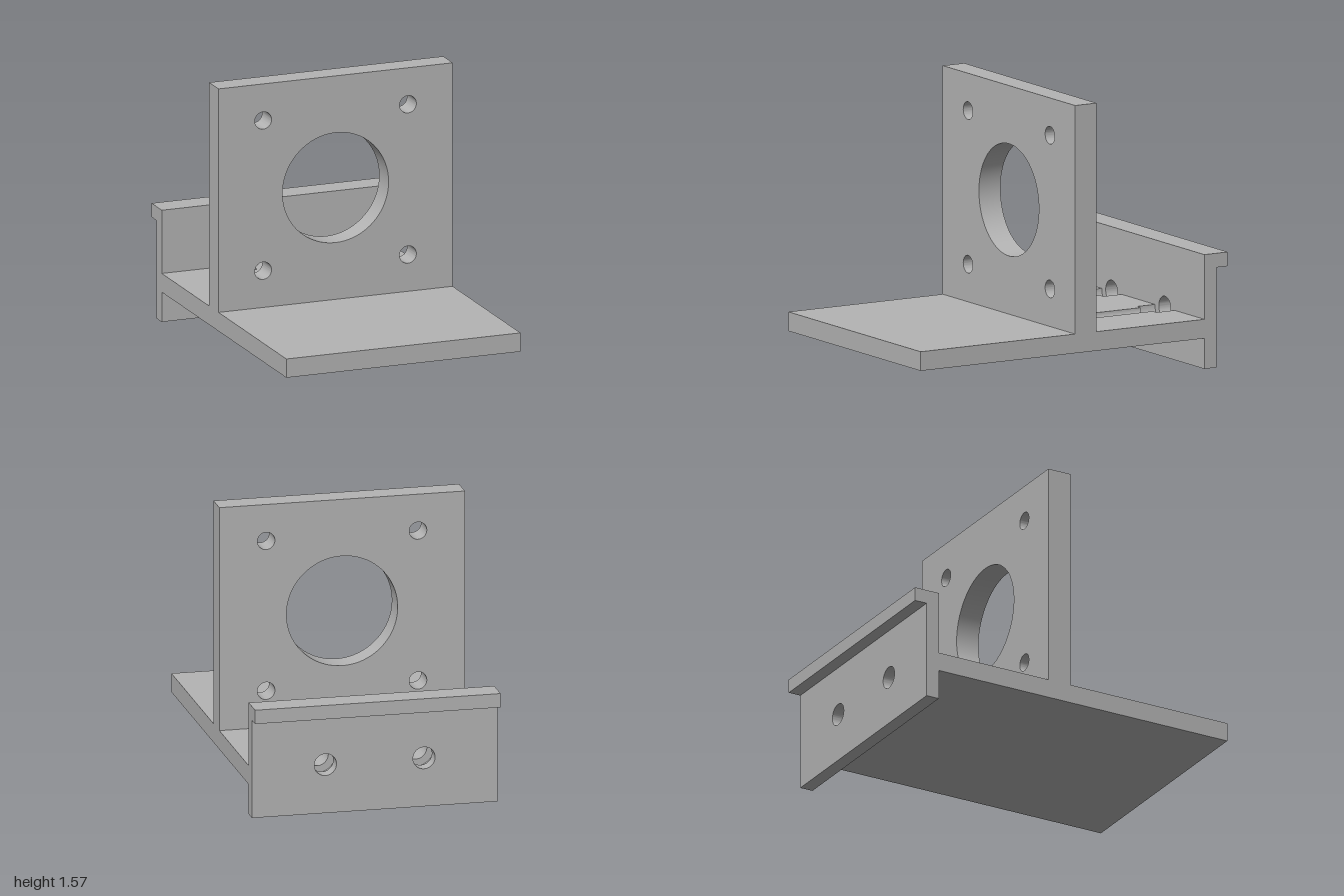
import * as THREE from 'three';
import { toCreasedNormals } from 'three/addons/utils/BufferGeometryUtils.js';

const HALF_W = 0.7;          // half width shared by every plate
const BASE_Y0 = 0.172, BASE_Y1 = 0.28;
const BOLT_X = 0.281, SHANK_R = 0.063, HEAD_R = 0.104;

export function createModel() {
  const model = new THREE.Group();
  const grey = new THREE.MeshStandardMaterial({ color: 0xb4b4b4 });
  grey.name = 'matt grey';

  // Extrude an outline in the XY plane from zBack to zFront
  const addPlate = (name, shape, zBack, zFront) => {
    const geometry = new THREE.ExtrudeGeometry(shape, {
      depth: zFront - zBack, bevelEnabled: false, curveSegments: 40,
    });
    geometry.translate(0, 0, zBack);
    const mesh = new THREE.Mesh(toCreasedNormals(geometry, 0.6), grey);
    mesh.name = name;
    model.add(mesh);
  };

  // Full-width rectangle with round holes given as [x, y, radius]
  const panel = (y0, y1, holes = []) => {
    const shape = new THREE.Shape();
    shape.moveTo(-HALF_W, y0).lineTo(HALF_W, y0).lineTo(HALF_W, y1).lineTo(-HALF_W, y1).closePath();
    for (const [x, y, r] of holes) {
      shape.holes.push(new THREE.Path().absarc(x, y, r, 0, Math.PI * 2, true));
    }
    return shape;
  };

  // Base cross-section with two half-round grooves in its top
  const groovedBase = (r) => {
    const shape = new THREE.Shape();
    shape.moveTo(-HALF_W, BASE_Y0).lineTo(HALF_W, BASE_Y0).lineTo(HALF_W, BASE_Y1);
    for (const x of [BOLT_X, -BOLT_X]) {
      shape.lineTo(x + r, BASE_Y1);
      shape.absarc(x, BASE_Y1, r, 0, -Math.PI, true);
    }
    shape.lineTo(-HALF_W, BASE_Y1).closePath();
    return shape;
  };

  // Base plate: solid front, bolt shank grooves, bolt head grooves
  addPlate('basePlate', panel(BASE_Y0, BASE_Y1), -0.175, 1);
  addPlate('baseShankGrooves', groovedBase(SHANK_R), -0.73, -0.175);
  addPlate('baseHeadGrooves', groovedBase(HEAD_R), -0.848, -0.73);

  // Upright mounting plate with a large bore and four bolt holes
  const holes = [[0, 0.925, 0.317]];
  for (const x of [-0.433, 0.433]) for (const y of [0.492, 1.359]) holes.push([x, y, 0.05]);
  addPlate('mountingPlate', panel(BASE_Y1, 1.57, holes), -0.146, -0.006);

  // Rear flange with two bolt holes, and the lip along its top
  const boltHoles = [-BOLT_X, BOLT_X].map((x) => [x, BASE_Y1, SHANK_R]);
  addPlate('rearFlange', panel(0, 0.645, boltHoles), -0.926, -0.848);
  addPlate('rearLip', panel(0.565, 0.645), -1, -0.926);

  return model;
}
